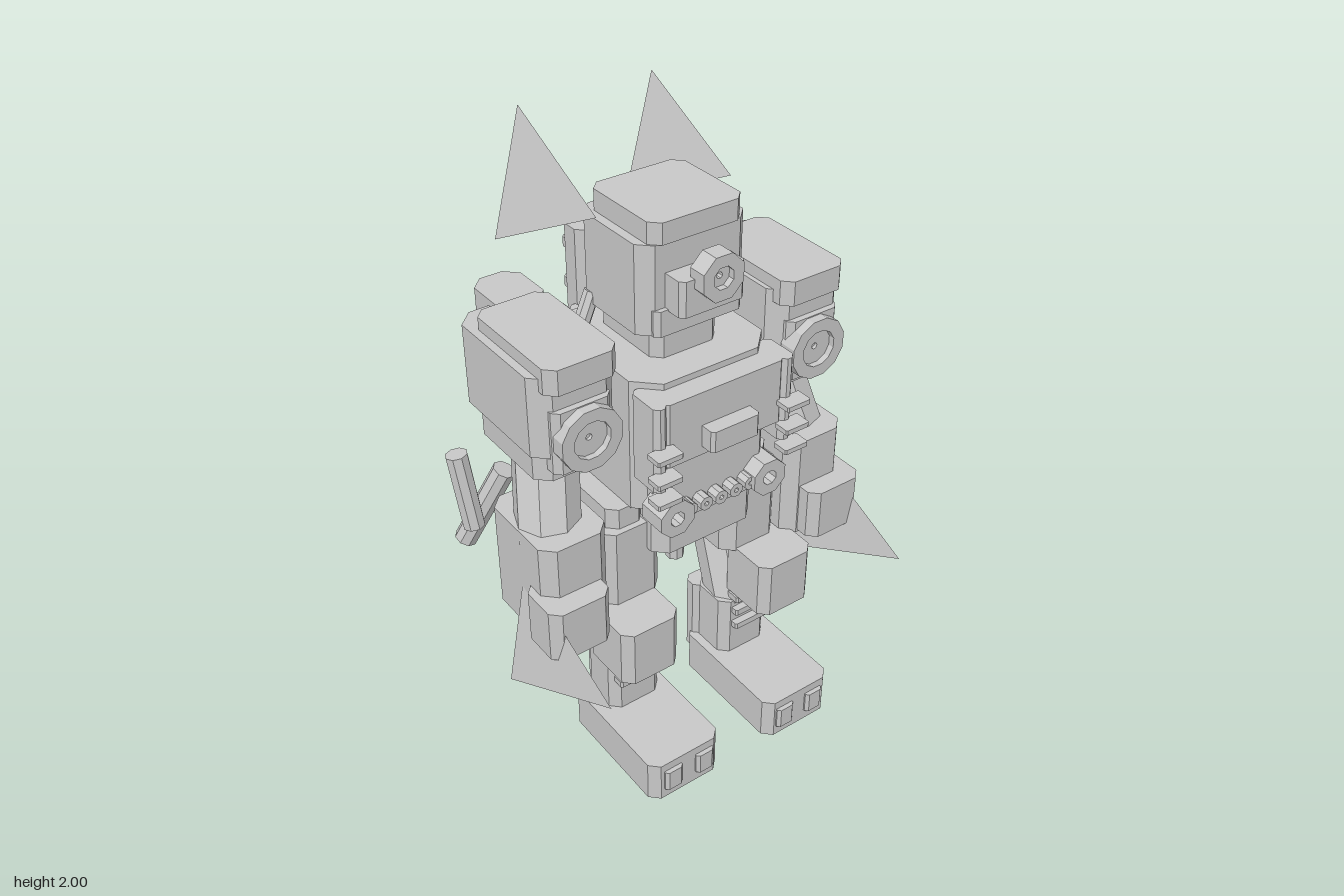
import * as THREE from 'three';
import { ConvexGeometry } from 'three/addons/geometries/ConvexGeometry.js';

export function createModel() {
  const model = new THREE.Group();
  const grey = new THREE.MeshStandardMaterial({ color: 0xc8c8c8, flatShading: true });
  grey.name = 'plain grey';

  const add = (name, geometry) => {
    const mesh = new THREE.Mesh(geometry, grey);
    mesh.name = name;
    model.add(mesh);
    return mesh;
  };

  // Block with bevelled upright edges, given by its x, y and z ranges
  const block = (name, [x0, x1], [y0, y1], [z0, z1], c = 0.03) => {
    const shape = new THREE.Shape([
      [x0 + c, -z1], [x1 - c, -z1], [x1, -z1 + c], [x1, -z0 - c],
      [x1 - c, -z0], [x0 + c, -z0], [x0, -z0 - c], [x0, -z1 + c],
    ].map(([x, y]) => new THREE.Vector2(x, y)));
    const g = new THREE.ExtrudeGeometry(shape, { depth: y1 - y0, bevelEnabled: false });
    g.rotateX(-Math.PI / 2).translate(0, y0, 0);
    return add(name, g);
  };

  // Mirrored pair of blocks, ranges given for the +x side
  const pair = (name, [x0, x1], y, z, c) => {
    block(name + 'Left', [x0, x1], y, z, c);
    block(name + 'Right', [-x1, -x0], y, z, c);
  };

  // Straight eight-sided bar between two points
  const bar = (name, a, b, r) => {
    const from = new THREE.Vector3(...a), to = new THREE.Vector3(...b);
    const dir = to.clone().sub(from);
    const g = new THREE.CylinderGeometry(r, r, dir.length(), 8).rotateY(Math.PI / 8);
    const mesh = add(name, g);
    mesh.position.copy(from).add(to).multiplyScalar(0.5);
    mesh.quaternion.setFromUnitVectors(new THREE.Vector3(0, 1, 0), dir.normalize());
  };

  // Faceted ring facing along z
  const polygon = (r, n, Type) => {
    const s = new Type();
    for (let i = 0; i <= n; i++) {
      const a = (i + 0.5) * Math.PI * 2 / n;
      s[i ? 'lineTo' : 'moveTo'](r * Math.cos(a), r * Math.sin(a));
    }
    return s;
  };
  const ring = (name, x, y, z0, z1, outer, inner, n = 8) => {
    const s = polygon(outer, n, THREE.Shape);
    s.holes.push(polygon(inner, n, THREE.Path));
    const g = new THREE.ExtrudeGeometry(s, { depth: z1 - z0, bevelEnabled: false });
    add(name, g.translate(x, y, z0));
  };

  // Three-sided spike pointing forward
  const spike = (name, x, y, z0, z1, w, h) => add(name, new ConvexGeometry([
    new THREE.Vector3(x, y, z1), new THREE.Vector3(x, y + h, z0),
    new THREE.Vector3(x - w, y - h, z0), new THREE.Vector3(x + w, y - h, z0),
  ]));

  // Head
  block('head', [-0.183, 0.183], [1.49, 1.765], [-0.19, 0.13], 0.04);
  block('headCap', [-0.155, 0.155], [1.765, 1.83], [-0.17, 0.14], 0.03);
  block('jaw', [-0.15, 0.15], [1.49, 1.57], [0.05, 0.145], 0.015);
  block('visor', [-0.11, 0.11], [1.565, 1.675], [0.1, 0.205], 0.015);
  ring('eyeRing', 0, 1.675, 0.185, 0.245, 0.073, 0.035);
  ring('eyeLens', 0, 1.675, 0.185, 0.225, 0.035, 0.01);
  block('neck', [-0.115, 0.115], [1.36, 1.5], [-0.2, 0.09], 0.03);

  // Torso and its front details
  block('torso', [-0.235, 0.235], [0.94, 1.38], [-0.29, 0.2], 0.07);
  block('pelvis', [-0.185, 0.185], [0.77, 0.95], [-0.2, 0.2], 0.04);
  block('chestPlate', [-0.215, 0.215], [1.15, 1.36], [0.1, 0.27], 0.02);
  block('bellyPlate', [-0.2, 0.2], [0.9, 1.15], [0.1, 0.22], 0.03);
  block('chestPanel', [-0.085, 0.085], [1.18, 1.25], [0.25, 0.32], 0.01);
  pair('chestPost', [0.2, 0.245], [1.08, 1.36], [0.15, 0.275], 0.015);
  for (const y of [1.22, 1.14, 1.07])
    pair('ribBar', [0.185, 0.27], [y - 0.008, y + 0.008], [0.265, 0.322], 0.004);
  for (let i = -2; i <= 2; i++)
    ring('beltBead', i * 0.055, 0.953 + 0.002 * Math.abs(i), 0.21, 0.26, 0.024, 0.008);

  // Backpack spine with ribs
  block('backPlate', [-0.155, 0.155], [0.89, 1.37], [-0.33, -0.18], 0.03);
  block('spine', [-0.11, 0.11], [0.96, 1.62], [-0.415, -0.28], 0.04);
  for (const y of [1.52, 1.385, 1.25, 1.13, 1.01])
    block('spineRib', [-0.075, 0.075], [y - 0.016, y + 0.016], [-0.455, -0.41], 0.01);

  // Shoulders, forearms, legs and feet
  pair('shoulderCap', [0.285, 0.515], [1.45, 1.53], [-0.215, 0.175], 0.03);
  pair('shoulder', [0.27, 0.54], [1.235, 1.49], [-0.285, 0.15], 0.05);
  pair('shoulderHem', [0.285, 0.53], [1.15, 1.24], [-0.22, 0.13], 0.04);
  pair('shoulderPad', [0.31, 0.5], [1.19, 1.39], [0.1, 0.17], 0.02);
  pair('backBooster', [0.27, 0.425], [1.14, 1.51], [-0.405, -0.2], 0.04);
  pair('boosterMount', [0.13, 0.345], [1.1, 1.36], [-0.4, -0.2], 0.03);
  pair('forearm', [0.335, 0.56], [0.59, 0.945], [-0.14, 0.18], 0.04);
  pair('cuff', [0.38, 0.585], [0.6, 0.775], [0.08, 0.25], 0.03);
  pair('hip', [0.17, 0.3], [0.8, 0.94], [-0.1, 0.12], 0.03);
  pair('thigh', [0.12, 0.335], [0.59, 0.87], [-0.12, 0.14], 0.04);
  pair('knee', [0.16, 0.365], [0.405, 0.6], [0.07, 0.285], 0.03);
  pair('shin', [0.125, 0.315], [0.13, 0.365], [-0.03, 0.13], 0.03);
  pair('calf', [0.11, 0.29], [0.08, 0.36], [-0.07, 0.0], 0.02);
  pair('foot', [0.095, 0.36], [0, 0.145], [-0.045, 0.41], 0.03);
  for (const x of [0.165, 0.285])
    pair('toe', [x - 0.033, x + 0.033], [0.04, 0.115], [0.38, 0.425], 0.01);
  for (const y of [0.385, 0.33, 0.27])
    pair('shinBar', [0.16, 0.3], [y - 0.011, y + 0.011], [0.1, 0.155], 0.006);

  // Mirrored spikes, rings, limbs and pipes
  for (const s of [1, -1]) {
    spike('ear', s * 0.225, 1.81, -0.4, -0.02, 0.102, 0.19);
    spike('elbowSpike', s * 0.55, 0.595, 0.035, 0.48, 0.075, 0.2);
    ring('shoulderRing', s * 0.4, 1.29, 0.14, 0.2, 0.1, 0.06, 12);
    ring('shoulderHub', s * 0.4, 1.29, 0.14, 0.18, 0.06, 0.01, 12);
    ring('beltKnob', s * 0.17, 0.96, 0.18, 0.275, 0.063, 0.025);
    ring('boosterNozzle', s * 0.253, 1.235, -0.49, -0.38, 0.098, 0.045, 12);
    bar('upperArm', [s * 0.395, 1.22, -0.07], [s * 0.465, 0.88, 0.04], 0.1);
    bar('lowerThigh', [s * 0.22, 0.64, -0.05], [s * 0.215, 0.33, 0.06], 0.09);
    bar('neckPipe', [s * 0.17, 1.52, -0.14], [s * 0.235, 1.37, -0.14], 0.025);
    bar('outerArmPipe', [s * 0.62, 1.11, -0.19], [s * 0.6, 0.86, -0.16], 0.034);
    bar('rearArmPipe', [s * 0.47, 0.99, -0.19], [s * 0.575, 0.72, -0.28], 0.036);
    bar('innerHipPipe', [s * 0.145, 0.69, -0.17], [s * 0.145, 0.375, -0.17], 0.032);
    bar('outerHipPipe', [s * 0.2, 0.8, -0.24], [s * 0.2, 0.51, -0.25], 0.034);
  }
  return model;
}
